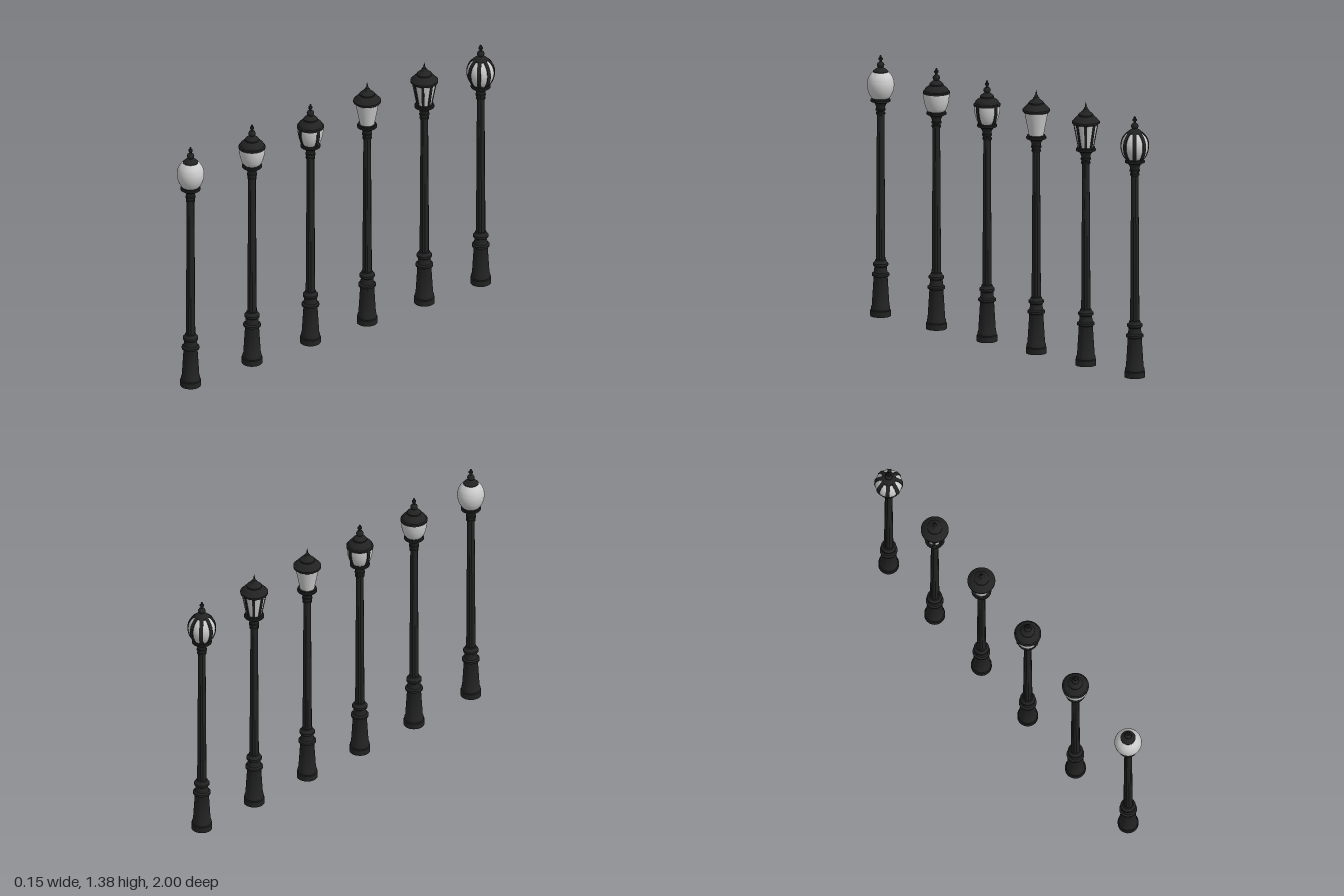
import * as THREE from 'three';
import { toCreasedNormals } from 'three/addons/utils/BufferGeometryUtils.js';

const iron = new THREE.MeshStandardMaterial({ color: 0x222222 });
const glass = new THREE.MeshStandardMaterial({ color: 0xcccccc });

const points = (pairs) => pairs.map(([r, y]) => new THREE.Vector2(r, y));

function turned(name, profile, material = iron, segments = 32) {
  const geometry = toCreasedNormals(new THREE.LatheGeometry(points(profile), segments), 0.6);
  const mesh = new THREE.Mesh(geometry, material);
  mesh.name = name;
  return mesh;
}

// Smooth profile through a few control points
function smooth(pairs, n = 20) {
  return new THREE.SplineCurve(points(pairs)).getPoints(n).map((p) => [p.x, p.y]);
}

// Profiles as [radius, height]
const BASE = [
  [0, 0], [0.053, 0], [0.053, 0.03], [0.049, 0.034], [0.049, 0.046], [0.045, 0.055], [0.036, 0.2],
  [0.038, 0.207], [0.045, 0.211], [0.045, 0.222], [0.036, 0.228], [0.033, 0.24], [0.032, 0.258],
  [0.039, 0.264], [0.039, 0.276], [0.031, 0.283], [0.028, 0.293], [0.021, 0.297],
];
const COLLAR = [
  [0.019, 1.054], [0.024, 1.056], [0.024, 1.064], [0.021, 1.067], [0.021, 1.074], [0.026, 1.077],
  [0.026, 1.084], [0.023, 1.088], [0.024, 1.1], [0.031, 1.113], [0.042, 1.121], [0.051, 1.124],
  [0.051, 1.133], [0.046, 1.136], [0.046, 1.142], [0, 1.142],
];
const GLOBE = smooth([
  [0.042, 1.138], [0.055, 1.156], [0.066, 1.183], [0.07, 1.213], [0.065, 1.242], [0.052, 1.265], [0.034, 1.283],
]);
const BOWL = smooth([[0.042, 1.138], [0.053, 1.156], [0.062, 1.185], [0.066, 1.215], [0.066, 1.24]]);
const CONE = [[0.037, 1.138], [0.062, 1.27]];

const KNOB = [
  [0.013, 1.302], [0.018, 1.308], [0.019, 1.316], [0.015, 1.325], [0.007, 1.33], [0.006, 1.338],
  [0.011, 1.342], [0.011, 1.35], [0.006, 1.354], [0.005, 1.362], [0, 1.366],
];
const SMALL_CAP = [
  [0, 1.272], [0.039, 1.272], [0.039, 1.281], [0.034, 1.286], [0.027, 1.292], [0.018, 1.298], ...KNOB,
];
const WIDE_CAP = [
  [0, 1.233], [0.069, 1.233], [0.069, 1.242], [0.063, 1.246], [0.059, 1.256], [0.05, 1.265],
  [0.04, 1.271], [0.036, 1.276], [0.036, 1.283], [0.028, 1.291], [0.018, 1.298], ...KNOB,
];
const ROOF = [
  [0, 1.263], [0.066, 1.263], [0.071, 1.267], [0.071, 1.277], [0.064, 1.282], [0.056, 1.293],
  [0.045, 1.303], [0.039, 1.306], [0.039, 1.313], [0.029, 1.322], [0.018, 1.33], [0.015, 1.338],
  [0.009, 1.342], [0.008, 1.349], [0.004, 1.354], [0.003, 1.365], [0, 1.378],
];

// Tapered shaft with shallow flutes
function shaft() {
  const geometry = new THREE.CylinderGeometry(0.0195, 0.0245, 0.78, 48, 1, true);
  const p = geometry.attributes.position;
  for (let i = 0; i < p.count; i++) {
    const angle = Math.atan2(p.getX(i), p.getZ(i));
    const k = 0.96 + 0.04 * Math.cos(12 * angle);
    p.setX(i, p.getX(i) * k);
    p.setZ(i, p.getZ(i) * k);
  }
  const mesh = new THREE.Mesh(toCreasedNormals(geometry, 0.6), iron);
  mesh.name = 'flutedShaft';
  mesh.position.y = 0.67;
  return mesh;
}

// Solid bars that follow a glass profile
function ribs(profile, count, width) {
  const group = new THREE.Group();
  group.name = 'ribs';
  const outer = profile.map(([r, y]) => [r + 0.003, y]);
  const inner = profile.map(([r, y]) => [r - 0.005, y]).reverse();
  const geometry = new THREE.ExtrudeGeometry(new THREE.Shape(points([...outer, ...inner])), {
    depth: width, bevelEnabled: false,
  });
  geometry.translate(0, 0, -width / 2);
  for (let i = 0; i < count; i++) {
    const rib = new THREE.Mesh(geometry, iron);
    rib.name = 'rib';
    rib.rotation.y = (i / count) * Math.PI * 2;
    group.add(rib);
  }
  return group;
}

const LAMPS = [
  { name: 'globeLamp', x: 0.005, z: 0.93, shade: GLOBE, cap: SMALL_CAP },
  { name: 'cappedBowlLamp', x: -0.005, z: 0.53, shade: BOWL, cap: WIDE_CAP },
  { name: 'ribbedBowlLamp', x: -0.005, z: 0.157, shade: BOWL, cap: WIDE_CAP, ribs: 4, width: 0.018 },
  { name: 'lanternLamp', x: -0.005, z: -0.205, shade: CONE, cap: ROOF },
  { name: 'barredLanternLamp', x: -0.005, z: -0.57, shade: CONE, cap: ROOF, ribs: 8, width: 0.014 },
  { name: 'ribbedGlobeLamp', x: -0.005, z: -0.93, shade: GLOBE, cap: SMALL_CAP, ribs: 8, width: 0.02 },
];

export function createModel() {
  const model = new THREE.Group();
  model.name = 'streetLamps';
  for (const spec of LAMPS) {
    const lamp = new THREE.Group();
    lamp.name = spec.name;
    lamp.position.set(spec.x, 0, spec.z);
    lamp.add(
      turned('base', BASE),
      shaft(),
      turned('collar', COLLAR),
      turned('glassShade', spec.shade, glass),
      turned('capAndFinial', spec.cap),
    );
    if (spec.ribs) lamp.add(ribs(spec.shade, spec.ribs, spec.width));
    model.add(lamp);
  }
  return model;
}
